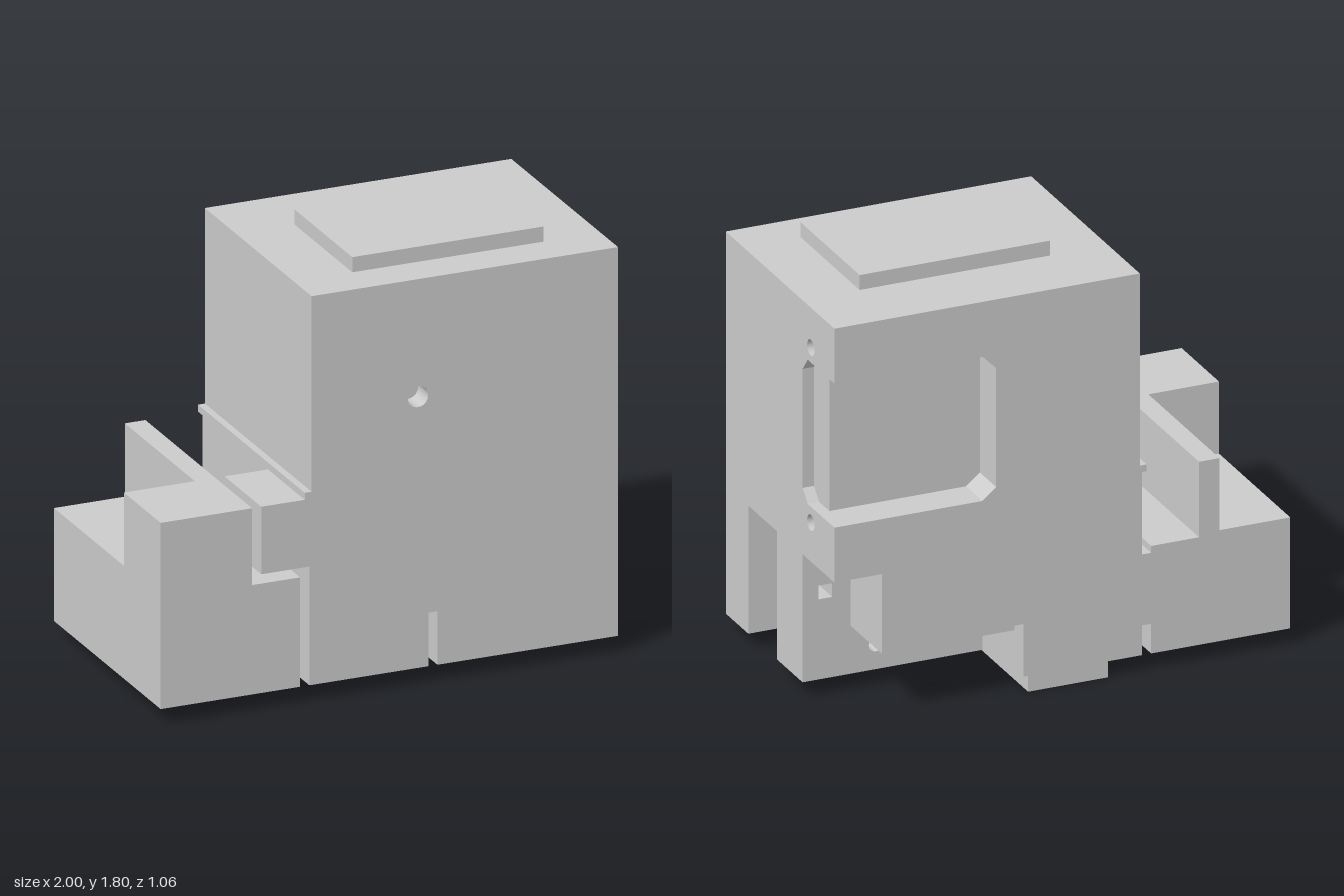
import * as THREE from 'three';

const material = new THREE.MeshStandardMaterial({ color: 0xcccccc });

const toPath = (points, Type = THREE.Path) => new Type(points.map(([x, y]) => new THREE.Vector2(x, y)));
const rect = (x0, x1, y0, y1) => toPath([[x0, y0], [x1, y0], [x1, y1], [x0, y1]]);
const circle = (x, y, r) => new THREE.Path().absarc(x, y, r, 0, Math.PI * 2);

function prism(points, depth, holes = []) {
  const shape = toPath(points, THREE.Shape);
  shape.holes.push(...holes);
  return new THREE.ExtrudeGeometry(shape, { depth, bevelEnabled: false, curveSegments: 16 });
}

function add(parent, name, geometry) {
  const mesh = new THREE.Mesh(geometry, material);
  mesh.name = name;
  parent.add(mesh);
  return mesh;
}

function box(parent, name, [x0, x1], [y0, y1], [z0, z1]) {
  const mesh = add(parent, name, new THREE.BoxGeometry(x1 - x0, y1 - y0, z1 - z0));
  mesh.position.set((x0 + x1) / 2, (y0 + y1) / 2, (z0 + z1) / 2);
}

// Outline of the housing: slotted underside, given right edge, ledge on the other side
const housingOutline = (rightEdge) => [
  [-0.35, 0.07], [0.17, 0.07], [0.17, 0.3], [0.21, 0.3],
  ...rightEdge,
  [-0.34, 1.74], [-0.34, 0.9], [-0.37, 0.9], [-0.37, 0.87], [-0.35, 0.87],
];

function createHousing() {
  const housing = new THREE.Group();
  housing.name = 'housing';
  const slice = (name, z0, z1, rightEdge, holes) => {
    add(housing, name, prism(housingOutline(rightEdge), z1 - z0, holes)).position.z = z0;
  };
  const plain = [[0.21, 0.07], [1, 0.07], [1, 1.74]];
  const channel = [[0.21, 0.21], [0.87, 0.21], [0.87, 0.63], [1, 0.63], [1, 1.74]];
  const rearCut = [[0.21, 0.28], [0.79, 0.28], [0.79, 0.63], [0.95, 0.63]];
  const window = [[0.95, 0.87], [0.35, 0.87], [0.29, 0.92], [0.29, 1.44], [0.35, 1.5], [0.95, 1.5]];

  slice('frontWall', 0.43, 0.53, plain, [circle(0.125, 1.235, 0.045)]);
  slice('frontCore', 0.31, 0.43, plain);
  slice('channelSection', 0.03, 0.31, channel);
  slice('drilledSection', -0.22, 0.03, plain, [
    rect(0.87, 0.93, 0.42, 0.48), rect(0.285, 0.345, 0.15, 0.205), circle(0.68, 0.178, 0.03),
  ]);
  slice('rearCore', -0.37, -0.22, [...rearCut, [0.95, 1.74]]);
  slice('rearWall', -0.53, -0.37, [...rearCut, ...window, [0.95, 1.74]]);

  // Side skins above and below the rear corner recess, each with a screw hole
  const skins = {
    lowerSkin: [[[0.22, 0.63], [0.53, 0.63], [0.53, 0.87], [0.27, 0.87], [0.22, 0.92]], 0.8],
    upperSkin: [[[0.22, 1.44], [0.27, 1.5], [0.53, 1.5], [0.53, 1.74], [0.22, 1.74]], 1.565],
  };
  for (const [name, [points, holeY]] of Object.entries(skins)) {
    const geometry = prism(points, 0.05, [circle(0.3, holeY, 0.035)]).rotateY(Math.PI / 2);
    add(housing, name, geometry).position.x = 0.95;
  }

  box(housing, 'topPad', [-0.085, 0.75], [1.74, 1.805], [-0.22, 0.355]);
  box(housing, 'bottomPad', [-0.2, 0.15], [0, 0.07], [-0.53, 0.2]);
  box(housing, 'frontLobe', [-0.56, -0.35], [0.58, 0.87], [0.165, 0.53]);
  return housing;
}

function createSideBlock() {
  const block = new THREE.Group();
  block.name = 'sideBlock';
  // Base plate with two recesses open below
  const recesses = [
    rect(-0.62, -0.42, -0.43, -0.31),
    toPath([[-0.9, -0.43], [-0.76, -0.43], [-0.73, -0.4], [-0.73, -0.34],
      [-0.76, -0.31], [-0.9, -0.31], [-0.93, -0.34], [-0.93, -0.4]]),
  ];
  const base = prism([[-1, -0.53], [-0.39, -0.53], [-0.39, 0.53], [-1, 0.53]], 0.1, recesses);
  add(block, 'basePlate', base.rotateX(Math.PI / 2)).position.y = 0.17;

  box(block, 'lowerBlock', [-1, -0.39], [0.17, 0.54], [-0.53, 0.53]);
  box(block, 'pocketFloor', [-1, -0.69], [0.54, 0.555], [-0.53, 0.165]);
  box(block, 'pocketWall', [-0.69, -0.6], [0.54, 0.87], [-0.53, 0.165]);
  box(block, 'upperBlock', [-1, -0.6], [0.54, 0.87], [0.165, 0.53]);
  return block;
}

export function createModel() {
  const model = new THREE.Group();
  model.name = 'machineHousing';
  model.add(createHousing(), createSideBlock());
  // Bridge joining the block to the housing across the gap
  box(model, 'bridge', [-0.39, -0.35], [0.2, 0.51], [-0.53, 0.165]);
  return model;
}
